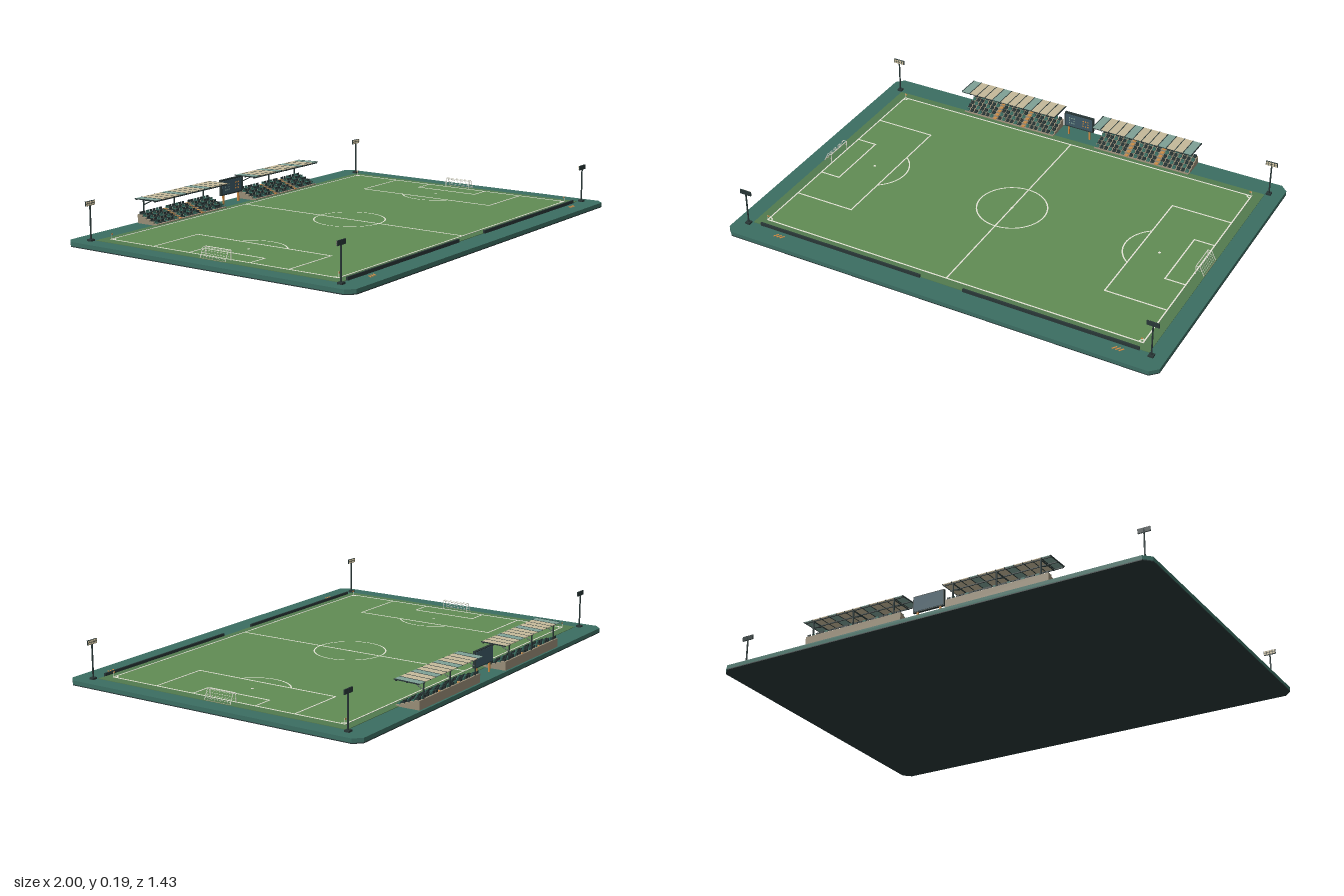
import * as THREE from 'three';

const mat = (name, color, side = THREE.FrontSide) => {
  const m = new THREE.MeshStandardMaterial({ color, side });
  m.name = name;
  return m;
};

export function createModel() {
  const M = {
    teal: mat('deck teal', 0x3b6d62),
    dark: mat('dark steel', 0x283636),
    grass: mat('grass green', 0x608c54),
    apron: mat('apron olive', 0x527a4e),
    white: mat('line white', 0xe4e3d6),
    tan: mat('roof tan', 0xc6ba9b),
    sage: mat('roof sage', 0x7fa196),
    orange: mat('orange', 0xc98a45),
    concrete: mat('concrete', 0x978c76),
    screen: mat('screen slate', 0x3d5864),
  };
  const root = new THREE.Group();
  root.name = 'footballGround';
  const group = (name, parent = root) => {
    const g = new THREE.Group();
    g.name = name;
    parent.add(g);
    return g;
  };
  const add = (parent, name, geo, material, x = 0, y = 0, z = 0) => {
    const m = new THREE.Mesh(geo, material);
    m.name = name;
    m.position.set(x, y, z);
    parent.add(m);
    return m;
  };
  const box = (parent, name, material, w, h, d, x, y, z) =>
    add(parent, name, new THREE.BoxGeometry(w, h, d), material, x, y, z);
  // Round bar between two points
  const bar = (parent, name, material, a, b, r, sides = 6) => {
    const p = new THREE.Vector3(...a), q = new THREE.Vector3(...b);
    const m = add(parent, name, new THREE.CylinderGeometry(r, r, p.distanceTo(q), sides), material);
    m.position.copy(p).lerp(q, 0.5);
    m.quaternion.setFromUnitVectors(new THREE.Vector3(0, 1, 0), q.sub(p).normalize());
    return m;
  };

  // Chamfered deck on a dark underside
  const slab = (name, material, y0, y1) => {
    const X = 1, Z = 0.713, c = 0.032;
    const s = new THREE.Shape([[X, -Z + c], [X, Z - c], [X - c, Z], [-X + c, Z], [-X, Z - c], [-X, -Z + c],
      [-X + c, -Z], [X - c, -Z]].map(([x, y]) => new THREE.Vector2(x, y)));
    const g = new THREE.ExtrudeGeometry(s, { depth: y1 - y0, bevelEnabled: false });
    g.rotateX(-Math.PI / 2);
    add(root, name, g, material, 0, y0, 0);
  };
  slab('underside', M.dark, 0, 0.004);
  slab('deck', M.teal, 0.004, 0.021);
  box(root, 'apron', M.apron, 1.85, 0.002, 1.22, 0, 0.022, 0);
  box(root, 'pitch', M.grass, 1.766, 0.003, 1.145, 0, 0.0225, 0);

  // Pitch markings
  const marks = group('markings');
  const LY = 0.0246, LW = 0.006;
  const line = (x0, z0, x1, z1) => box(marks, 'line', M.white,
    Math.abs(x1 - x0) + LW, 0.001, Math.abs(z1 - z0) + LW, (x0 + x1) / 2, LY, (z0 + z1) / 2);
  const arc = (x, z, r, start, len) => {
    const g = new THREE.RingGeometry(r - LW / 2, r + LW / 2, 48, 1, start, len);
    g.rotateX(-Math.PI / 2);
    add(marks, 'arc', g, M.white, x, LY + 0.0005, z);
  };
  const spot = (x) => add(marks, 'spot', new THREE.CylinderGeometry(0.006, 0.006, 0.001, 12), M.white, x, LY, 0);
  const PX = 0.88, PZ = 0.57;
  line(0, -PZ, 0, PZ);
  arc(0, 0, 0.154, 0, Math.PI * 2);
  spot(0);
  for (const s of [-1, 1]) {
    line(-PX, s * PZ, PX, s * PZ);
    line(s * PX, -PZ, s * PX, PZ);
    for (const [x, z] of [[0.605, 0.34], [0.788, 0.153]]) {
      line(s * x, -z, s * x, z);
      line(s * x, z, s * PX, z);
      line(s * x, -z, s * PX, -z);
    }
    spot(s * 0.696);
    const half = Math.acos(0.091 / 0.155);
    arc(s * 0.696, 0, 0.155, (s > 0 ? Math.PI : 0) - half, half * 2);
    for (const t of [-1, 1]) {
      const start = s > 0 ? (t > 0 ? Math.PI / 2 : Math.PI) : (t > 0 ? 0 : -Math.PI / 2);
      arc(s * PX, t * PZ, 0.018, start, Math.PI / 2);
      // Corner flags
      const flag = group('cornerFlag');
      bar(flag, 'flagPole', M.white, [s * PX, 0.023, t * PZ], [s * PX, 0.048, t * PZ], 0.001);
      box(flag, 'flag', M.orange, 0.01, 0.007, 0.001, s * (PX - 0.005), 0.044, t * PZ);
    }
  }

  // Goals with sloping net frames
  for (const s of [-1, 1]) {
    const goal = group('goal');
    const f = s * 0.885, t = s * 0.902, b = s * 0.922, y0 = 0.022, y1 = 0.063, W = 0.063;
    for (const z of [-W, W]) {
      bar(goal, 'post', M.white, [f, y0, z], [f, y1, z], 0.002);
      bar(goal, 'topStay', M.white, [f, y1, z], [t, y1, z], 0.0014);
      bar(goal, 'backStay', M.white, [t, y1, z], [b, y0, z], 0.0014);
      bar(goal, 'sideNet', M.white, [f, 0.042, z], [s * 0.912, 0.042, z], 0.0006, 4);
    }
    bar(goal, 'crossbar', M.white, [f, y1, -W], [f, y1, W], 0.002);
    bar(goal, 'groundBar', M.concrete, [b, y0 + 0.001, -W], [b, y0 + 0.001, W], 0.0014);
    for (let i = 0; i < 4; i++) {
      const k = i / 4, x = t + (b - t) * k, y = y1 + (y0 - y1) * k;
      bar(goal, 'netRow', M.white, [x, y, -W], [x, y, W], 0.0007, 4);
    }
    for (let i = -3; i <= 3; i++)
      bar(goal, 'netCord', M.white, [t, y1, i * 0.0158], [b, y0, i * 0.0158], 0.0005, 4);
  }

  // Low boards along the near touchline and slanted orange ground marks
  for (const s of [-1, 1]) {
    box(root, 'sideBoard', M.dark, 0.785, 0.014, 0.008, s * 0.492, 0.028, 0.612);
    for (let i = -1; i <= 1; i++) {
      const m = box(root, 'groundStripe', M.orange, 0.006, 0.002, 0.024, (s > 0 ? 0.808 : -0.77) + i * 0.015, 0.022, 0.646);
      m.rotation.y = -0.6;
    }
  }

  // Corner floodlights
  for (const x of [-0.94, 0.94]) for (const z of [-0.625, 0.625]) {
    const f = group('floodlight');
    f.position.set(x, 0.021, z);
    box(f, 'footing', M.dark, 0.022, 0.008, 0.022, 0, 0.004, 0);
    bar(f, 'mast', M.dark, [0, 0, 0], [0, 0.165, 0], 0.0035, 8);
    box(f, 'lampFrame', M.dark, 0.054, 0.02, 0.005, 0, 0.157, 0);
    const face = z > 0 ? -1 : 1;
    for (let i = 0; i < 4; i++) for (const y of [0.152, 0.162])
      box(f, 'lamp', M.tan, 0.01, 0.007, 0.003, -0.0195 + i * 0.013, y, face * 0.0035);
  }

  // Covered stands
  for (const s of [-1, 1]) {
    const st = group('stand');
    st.position.x = s * 0.3375;
    const rows = 5, len = 0.465, d = 0.021;
    for (let r = 0; r < rows; r++) {
      const h = 0.006 + r * 0.0075, z = -0.606 - r * d, top = 0.021 + h;
      box(st, 'terrace', M.concrete, len, h, d, 0, 0.021 + h / 2, z);
      for (let i = 0; i < 22; i++) {
        const x = -0.221 + i * 0.02105;
        if (i === 7 || i === 14) {
          box(st, 'aisleStep', M.orange, 0.015, 0.003, d * 0.8, x, top + 0.0015, z);
          continue;
        }
        const m = (i + r) % 3 ? M.dark : M.teal;
        box(st, 'seat', m, 0.015, 0.003, 0.011, x, top + 0.004, z + 0.001);
        box(st, 'seatBack', m, 0.015, 0.011, 0.003, x, top + 0.008, z - 0.006);
      }
    }
    box(st, 'backWall', M.concrete, len, 0.038, 0.004, 0, 0.04, -0.702);
    // Roof frame
    for (const x of [-0.198, 0, 0.198]) {
      bar(st, 'roofPost', M.dark, [x, 0.021, -0.7], [x, 0.128, -0.7], 0.0035);
      bar(st, 'rafter', M.dark, [x, 0.124, -0.705], [x, 0.127, -0.594], 0.0028);
      bar(st, 'brace', M.dark, [x, 0.095, -0.7], [x, 0.125, -0.64], 0.0022);
    }
    for (const z of [-0.6, -0.65, -0.7]) box(st, 'purlin', M.dark, 0.485, 0.004, 0.004, 0, 0.126, z);
    // Roof panels in a repeating colour rhythm
    const roof = group('roof', st);
    roof.position.set(0, 0.13, -0.651);
    roof.rotation.x = -0.03;
    const w = 0.485 / 12;
    for (let i = 0; i < 12; i++) {
      const sage = i % 4 === 0 || (s > 0 && i === 11);
      box(roof, 'roofPanel', sage ? M.sage : M.tan, w - 0.003, 0.003, 0.114, -0.2425 + (i + 0.5) * w, 0, 0);
    }
    for (let i = 0; i <= 12; i++) box(roof, 'roofRib', M.dark, 0.004, 0.004, 0.115, -0.2425 + i * w, 0, 0);
  }

  // Scoreboard
  const sb = group('scoreboard');
  sb.position.z = -0.656;
  for (const x of [-0.053, 0.053]) box(sb, 'boardPost', M.orange, 0.007, 0.05, 0.007, x, 0.045, 0);
  box(sb, 'casing', M.dark, 0.146, 0.072, 0.012, 0, 0.1, 0);
  box(sb, 'screen', M.screen, 0.134, 0.06, 0.003, 0, 0.1, 0.0065);
  box(sb, 'rearPanel', M.screen, 0.138, 0.064, 0.002, 0, 0.1, -0.0065);
  for (const x of [-0.035, 0.035]) for (let i = -1; i <= 1; i++) for (let j = -1; j <= 1; j++)
    if (i || j) box(sb, 'displayDot', x < 0 ? M.sage : M.orange, 0.006, 0.006, 0.001, x + i * 0.012, 0.1 + j * 0.013, 0.0084);

  return root;
}
